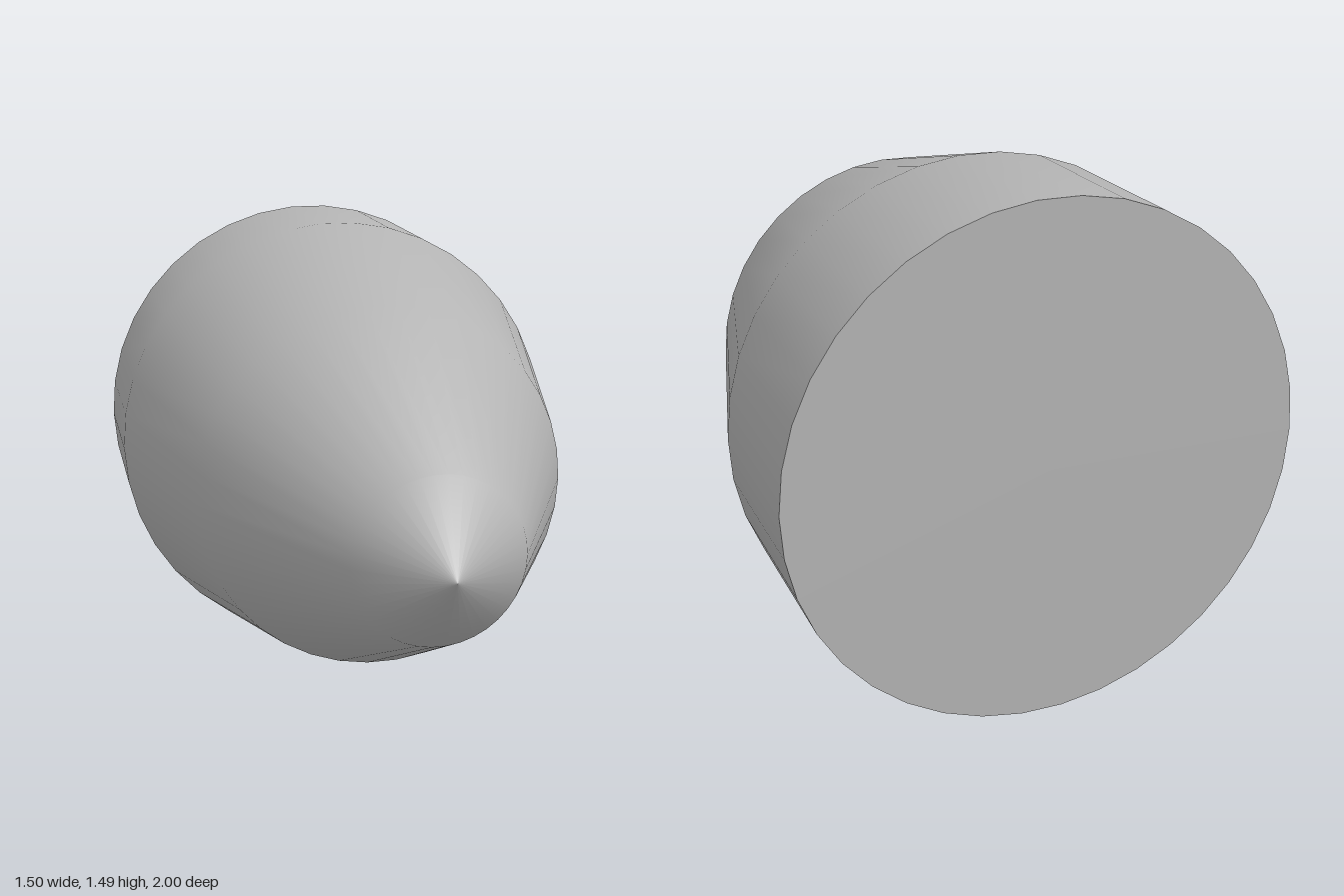
import * as THREE from 'three';

const SIDES = 38;
const RADIUS = 0.75;

export function createModel() {
  const model = new THREE.Group();
  model.name = 'noseCone';
  const grey = new THREE.MeshStandardMaterial({ color: 0xb4b4b4 });
  grey.name = 'grey';
  const axisHeight = RADIUS * Math.cos(Math.PI / SIDES);

  // Smooth shell: straight base, two tapering bands and a blunt tip along +z
  const profile = [[RADIUS, -1], [RADIUS, -0.5], [0.583, 0.167], [0.25, 0.833], [0, 1]]
    .map(([r, z]) => new THREE.Vector2(r, z));
  const shellGeometry = new THREE.LatheGeometry(profile, SIDES, Math.PI / SIDES);
  shellGeometry.rotateX(Math.PI / 2);
  const shell = new THREE.Mesh(shellGeometry, grey);
  shell.name = 'shell';
  shell.position.y = axisHeight;

  // Flat disc closing the back
  const back = new THREE.Mesh(new THREE.CircleGeometry(RADIUS, SIDES), grey);
  back.name = 'backCap';
  back.rotation.y = Math.PI;
  back.position.set(0, axisHeight, -1);

  model.add(shell, back);
  return model;
}
